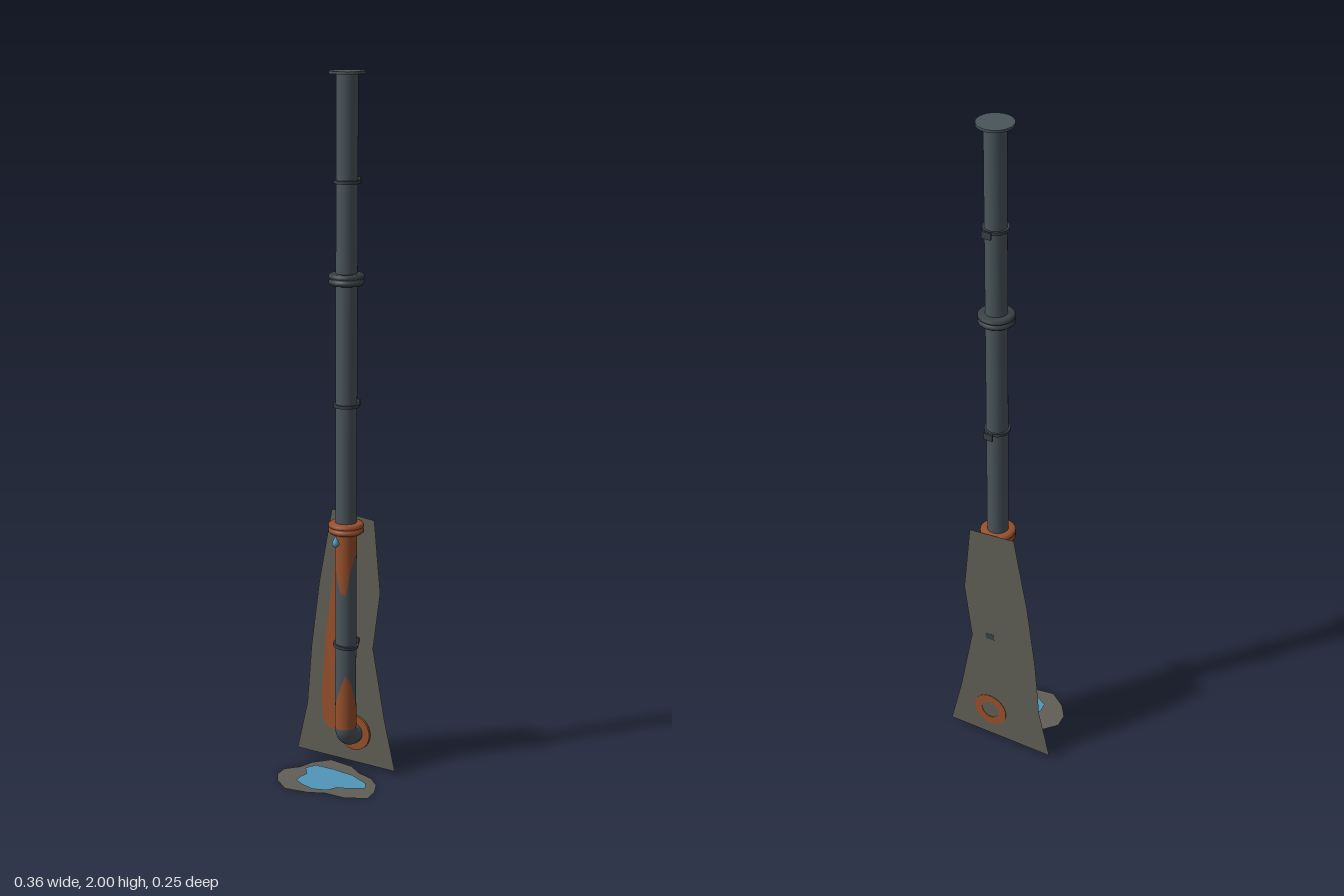
import * as THREE from 'three';

const PX = 0.02, PZ = -0.076, R = 0.03, WALL = -0.1265;
const mat = (color) => new THREE.MeshStandardMaterial({ color, side: THREE.DoubleSide });
const steel = mat(0x4a555b), dark = mat(0x394147), rust = mat(0x98502c);
const concrete = mat(0x605e56), water = mat(0x5096ba);

export function createModel() {
  const model = new THREE.Group();
  const add = (name, geometry, material, x = 0, y = 0, z = 0, parent = model) => {
    const mesh = new THREE.Mesh(geometry, material);
    mesh.name = name;
    mesh.position.set(x, y, z);
    parent.add(mesh);
    return mesh;
  };
  const outline = (points) =>
    new THREE.ShapeGeometry(new THREE.Shape(points.map(([x, y]) => new THREE.Vector2(x, y))));
  const disc = (r, h) => new THREE.CylinderGeometry(r, r, h, 32);

  // Straight pipe, elbow and short run into the wall
  add('pipe', disc(R, 1.86), steel, PX, 1.065, PZ);
  const bend = new THREE.TorusGeometry(0.032, R, 20, 12, Math.PI / 2);
  bend.rotateX(Math.PI).rotateY(-Math.PI / 2);
  add('elbow', bend, steel, PX, 0.137, PZ - 0.032);
  add('elbowOutlet', disc(R, 0.018).rotateX(Math.PI / 2), steel, PX, 0.105, -0.117);

  // Top flange and two double-flange joints
  add('topFlange', disc(0.05, 0.007), steel, PX, 1.9965, PZ);
  const joint = (name, y, material) => {
    const group = new THREE.Group();
    group.name = name;
    const rim = [[R, -0.016], [0.044, -0.016], [0.05, -0.011], [0.05, -0.004], [0.046, -0.002],
      [0.046, 0.002], [0.05, 0.004], [0.05, 0.011], [0.044, 0.016], [R, 0.016]];
    const geo = new THREE.LatheGeometry(rim.map(([r, h]) => new THREE.Vector2(r, h)), 32);
    add('flangePair', geo, material, 0, 0, 0, group);
    group.position.set(PX, y, PZ);
    model.add(group);
  };
  joint('upperJoint', 1.44, dark);
  joint('rustyJoint', 0.735, rust);

  // Pipe clamps with a stub and foot reaching back to the wall
  [[1.705, 0], [1.087, 0], [0.387, -0.1]].forEach(([y, tilt]) => {
    const clamp = new THREE.Group();
    clamp.name = 'clamp';
    add('band', disc(0.036, 0.009), dark, 0, 0, 0, clamp);
    add('stub', new THREE.BoxGeometry(0.012, 0.008, 0.024), dark, 0, 0, -0.038, clamp);
    add('foot', new THREE.BoxGeometry(0.028, 0.02, 0.005), dark, 0, 0, -0.0483, clamp);
    clamp.position.set(PX, y, PZ);
    clamp.rotation.z = tilt;
    model.add(clamp);
  });

  // Rust skins: one straight edge, one ragged edge given by height per angle (0 = front)
  const rustSkin = (name, base, heights) => {
    const n = 48;
    const geo = new THREE.CylinderGeometry(R + 0.0008, R + 0.0008, 1, n, 1, true);
    const pos = geo.attributes.position;
    for (let i = 0; i < pos.count; i++) {
      const f = ((i % (n + 1)) / n) * heights.length;
      const a = heights[Math.floor(f) % heights.length];
      const b = heights[(Math.floor(f) + 1) % heights.length];
      const edge = a + (b - a) * (f % 1);
      const top = i <= n;
      pos.setY(i, top ? Math.max(base, edge) : Math.min(base, edge));
    }
    add(name, geo, rust, PX, 0, PZ);
  };
  rustSkin('upperRust', 0.725, [0.55, 0.54, 0.62, 0.66, 0.65, 0.63, 0.66, 0.64, 0.67, 0.64, 0.6, 0.61]);
  rustSkin('lowerRust', 0.138, [0.26, 0.3, 0.28, 0.22, 0.2, 0.23, 0.19, 0.21, 0.18, 0.2, 0.19, 0.22]);

  // Rusty ring where the pipe enters the wall
  const ring = new THREE.Shape().absarc(0, 0, 0.053, 0, Math.PI * 2);
  ring.holes.push(new THREE.Path().absarc(0, 0, 0.028, 0, Math.PI * 2, true));
  const ringGeo = new THREE.ExtrudeGeometry(ring, { depth: 0.009, bevelEnabled: false, curveSegments: 32 });
  add('wallRing', ringGeo, rust, PX, 0.105, -0.128);

  // Damp wall patch and the rust streak on it
  add('wallPatch', outline([[-0.06, 0.765], [0.082, 0.752], [0.103, 0.54], [0.08, 0.37], [0.12, 0.16],
    [0.156, 0.012], [-0.18, 0.012], [-0.145, 0.16], [-0.13, 0.34], [-0.103, 0.54]]), concrete, 0, 0, WALL);
  add('rustStreak', outline([[-0.03, 0.73], [-0.05, 0.6], [-0.08, 0.39], [-0.095, 0.19], [-0.088, 0.12],
    [-0.07, 0.1], [-0.042, 0.1], [-0.05, 0.17], [-0.034, 0.28], [-0.012, 0.5], [0.01, 0.73]]),
  rust, 0, 0, WALL + 0.001);

  // Wet ground patch and puddle, outlines as x, -z
  const flat = (points) => outline(points).rotateX(-Math.PI / 2);
  add('groundPatch', flat([[-0.058, 0.119], [0.019, 0.11], [0.063, 0.081], [0.115, 0.065], [0.151, 0.033],
    [0.172, -0.01], [0.179, -0.058], [0.122, -0.09], [0.06, -0.092], [0.013, -0.115], [-0.054, -0.126],
    [-0.103, -0.092], [-0.131, -0.053], [-0.135, -0.01], [-0.104, 0.028], [-0.094, 0.072]]),
  concrete, 0, 0.002, 0);
  add('puddle', flat([[-0.067, 0.054], [-0.008, 0.056], [0.06, 0.049], [0.124, 0.02], [0.142, -0.012],
    [0.103, -0.037], [0.071, -0.049], [0.058, -0.079], [0.019, -0.094], [-0.021, -0.085], [-0.056, -0.067],
    [-0.06, -0.037], [-0.056, -0.012], [-0.081, 0.019], [-0.077, 0.035]]), water, 0, 0.006, 0);

  // Water drop leaking below the rusty joint
  const dropProfile = [[0, -0.012], [0.007, -0.01], [0.011, -0.003], [0.009, 0.005], [0.004, 0.014], [0, 0.023]];
  add('waterDrop', new THREE.LatheGeometry(dropProfile.map(([r, h]) => new THREE.Vector2(r, h)), 16),
    water, PX, 0.702, -0.022);

  return model;
}
